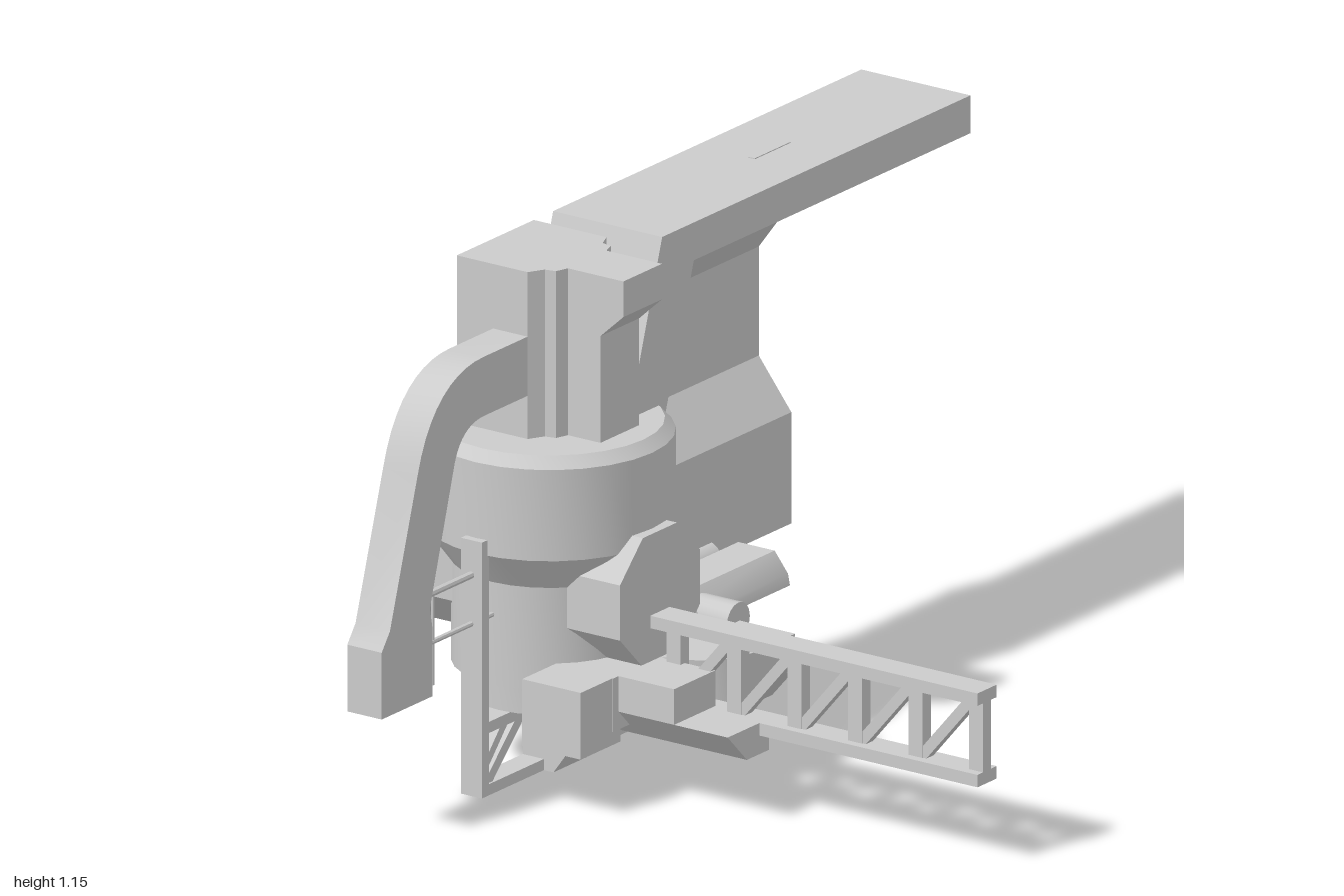
import * as THREE from 'three';
import { toCreasedNormals } from 'three/addons/utils/BufferGeometryUtils.js';

const CX = -0.33, CZ = -0.433; // axis of the central hull

export function createModel() {
  const model = new THREE.Group();
  const mat = new THREE.MeshStandardMaterial({ color: 0xcccccc, side: THREE.DoubleSide });

  function add(name, geo) {
    const mesh = new THREE.Mesh(geo, mat);
    mesh.name = name;
    model.add(mesh);
    return mesh;
  }
  function box(name, x0, x1, y0, y1, z0, z1) {
    const g = new THREE.BoxGeometry(x1 - x0, y1 - y0, z1 - z0);
    g.translate((x0 + x1) / 2, (y0 + y1) / 2, (z0 + z1) / 2);
    return add(name, g);
  }
  function extrude(shape, depth) {
    const g = new THREE.ExtrudeGeometry(shape, { depth, bevelEnabled: false, curveSegments: 10 });
    return toCreasedNormals(g, 0.5);
  }
  const polygon = (pts) => new THREE.Shape(pts.map(([a, b]) => new THREE.Vector2(a, b)));
  // Outline given as x, y and swept along z
  const alongZ = (name, pts, z0, z1) =>
    add(name, extrude(polygon(pts), z1 - z0).translate(0, 0, z0));
  // Outline given as z, y and swept along x
  const alongX = (name, pts, x0, x1) =>
    add(name, extrude(polygon(pts.map(([z, y]) => [-z, y])), x1 - x0).rotateY(Math.PI / 2).translate(x0, 0, 0));
  // Outline given as x, z and swept along y
  const alongY = (name, pts, y0, y1) =>
    add(name, extrude(polygon(pts.map(([x, z]) => [x, -z])), y1 - y0).rotateX(-Math.PI / 2).translate(0, y0, 0));
  // Round or square bar between two points
  function bar(name, a, b, r, sides = 12) {
    const p = new THREE.Vector3(...a), q = new THREE.Vector3(...b);
    const g = toCreasedNormals(new THREE.CylinderGeometry(r, r, p.distanceTo(q), sides), 0.6);
    const m = add(name, g);
    m.position.copy(p).add(q).multiplyScalar(0.5);
    m.quaternion.setFromUnitVectors(new THREE.Vector3(0, 1, 0), q.sub(p).normalize());
    return m;
  }
  // Flat strip in the x, y plane or the z, y plane
  function strip(a, b, w) {
    const dx = b[0] - a[0], dy = b[1] - a[1], l = Math.hypot(dx, dy);
    const nx = -dy / l * w / 2, ny = dx / l * w / 2;
    return [[a[0] + nx, a[1] + ny], [b[0] + nx, b[1] + ny], [b[0] - nx, b[1] - ny], [a[0] - nx, a[1] - ny]];
  }

  // Central hull with tapered neck, base rings and nozzle
  const hullProfile = [[0, 0.07], [0.04, 0.07], [0.06, 0.09], [0.06, 0.165], [0.185, 0.165], [0.185, 0.225],
    [0.21, 0.23], [0.21, 0.46], [0.268, 0.54], [0.268, 0.745], [0.245, 0.77], [0, 0.77]];
  const hull = new THREE.LatheGeometry(hullProfile.map(([r, y]) => new THREE.Vector2(r, y)), 28);
  add('hull', toCreasedNormals(hull, 0.4)).position.set(CX, 0, CZ);

  // Octagonal docking node, passing through the neck front to back
  const o = 0.145, c = 0.062, oy = 0.43;
  alongZ('dockingNode', [[o, c], [c, o], [-c, o], [-o, c], [-o, -c], [-c, -o], [c, -o], [o, -c]]
    .map(([x, y]) => [CX + x, oy + y]), -0.72, -0.145);
  box('neckKnob', -0.13, -0.09, 0.27, 0.32, -0.61, -0.59);

  // Tower on the hull, stepped toward the front, with an overhanging head
  alongY('tower', [[-0.47, -0.575], [-0.19, -0.575], [-0.19, -0.385], [-0.225, -0.37], [-0.23, -0.345],
    [-0.26, -0.335], [-0.26, -0.25], [-0.4, -0.25], [-0.4, -0.335], [-0.43, -0.345], [-0.435, -0.37],
    [-0.47, -0.39]], 0.76, 1.145);
  alongX('towerHead', [[-0.3, 1.145], [-0.19, 1.145], [-0.19, 1.065], [-0.25, 1.01], [-0.3, 1.01]], -0.4, -0.26);

  // Long top beam with its slanted leg
  alongZ('topBeam', [[-0.12, 1.145], [1, 1.145], [1, 1.06], [-0.005, 1.06], [-0.11, 0.74], [-0.24, 0.77]],
    -0.575, -0.29);
  box('beamRidge', 0.4, 0.53, 1.14, 1.147, -0.44, -0.422);

  // Folded sheet hanging below the beam
  const fold = [[-0.42, 1.06], [-0.42, 1.01], [-0.505, 0.895], [-0.505, 0.65], [-0.42, 0.54], [-0.42, 0.29]];
  alongX('foldedPanel', [...fold, ...fold.slice().reverse().map(([z, y]) => [z - 0.012, y])], -0.19, 0.53);

  // Curved side arm ending in a foot
  const arm = new THREE.Shape();
  arm.moveTo(-0.45, 1.0);
  arm.lineTo(-0.63, 1.0);
  arm.bezierCurveTo(-0.74, 1.0, -0.83, 0.94, -0.87, 0.8);
  arm.lineTo(-0.97, 0.48);
  arm.lineTo(-1, 0.44);
  arm.lineTo(-1, 0.29);
  arm.lineTo(-0.815, 0.29);
  arm.lineTo(-0.815, 0.44);
  arm.lineTo(-0.825, 0.49);
  arm.lineTo(-0.735, 0.79);
  arm.quadraticCurveTo(-0.71, 0.865, -0.63, 0.867);
  arm.lineTo(-0.45, 0.867);
  add('sideArm', extrude(arm, 0.09).translate(0, 0, -0.48));

  // Thin rods between the arm foot and the frame
  bar('upperRod', [-0.83, 0.497, CZ], [-0.5, 0.497, CZ], 0.008, 8);
  bar('lowerRod', [-0.83, 0.387, CZ], [-0.5, 0.387, CZ], 0.006, 8);
  bar('uprightRod', [-0.755, 0.29, CZ], [-0.755, 0.5, CZ], 0.004, 8);

  // Support frame: mirrored posts, diagonals and braces
  for (const s of [-1, 1]) {
    const at = (d) => CX + 0.002 + s * d;
    box('framePost', Math.min(at(0.262), at(0.287)), Math.max(at(0.262), at(0.287)), 0, 0.575, -0.46, -0.405);
    alongZ('frameDiagonal', strip([at(0.27), 0.015], [at(0.13), 0.15], 0.025), -0.455, -0.41);
    alongZ('frameDiagonalInner', strip([at(0.19), 0.15], [at(0.272), 0.06], 0.02), -0.455, -0.41);
  }
  box('frameFoot', -0.615, -0.04, 0, 0.025, -0.46, -0.405);
  box('frameRail', -0.615, -0.04, 0.14, 0.165, -0.46, -0.405);
  alongX('frameBracket', [[-0.46, 0], [-0.38, 0], [-0.235, 0.2], [-0.235, 0.23], [-0.405, 0.23], [-0.46, 0.1]],
    -0.39, -0.27);

  // Front lattice boom: flanges, uprights and diagonals
  box('boomTop', -0.365, -0.295, 0.365, 0.393, -0.2, 0.71);
  box('boomBottom', -0.365, -0.295, 0.182, 0.21, -0.2, 0.71);
  for (let i = 0; i < 6; i++) {
    const z = 0.71 - i * 0.158;
    box('boomUpright', -0.345, -0.315, 0.2, 0.37, z - 0.037, z);
    if (i < 5) alongX('boomDiagonal', strip([z - 0.03, 0.37], [z - 0.165, 0.21], 0.024), -0.343, -0.317);
  }

  // Rounded left block with a bevelled lower front edge
  const block = [[-0.145, 0.29], [0, 0.29], [0, 0.21], [-0.06, 0.14], [-0.145, 0.14]];
  alongX('frontBlock', block, -0.18, -0.04);
  alongY('frontBlockCheek', [[-0.18, -0.145], [-0.18, 0], [-0.22, -0.005], [-0.26, -0.025], [-0.3, -0.065],
    [-0.33, -0.145]], 0.14, 0.29);
  box('frontBlockMount', -0.5, -0.04, 0.17, 0.29, -0.3, -0.145);

  // Right block and the low tray ahead of it
  alongZ('frontTray', [[-0.48, 0.21], [-0.33, 0.21], [-0.33, 0.14], [-0.41, 0.14]], -0.145, 0.14);
  alongZ('rightBlock', [[-0.48, 0.29], [-0.33, 0.29], [-0.33, 0.14], [-0.41, 0.14], [-0.48, 0.21]], -0.3, 0);
  box('sideBlock', -0.615, -0.47, 0.14, 0.29, -0.3, -0.147);

  // Twin side tubes under a faceted cover, with a cross tube
  for (const z of [-0.29, CZ]) bar('sideTube', [-0.25, 0.29, z], [0.24, 0.29, z], 0.042, 16);
  alongX('tubeCover', [[-0.215, 0.275], [-0.22, 0.3], [-0.255, 0.345], [-0.35, 0.345], [-0.395, 0.29],
    [-0.38, 0.275], [-0.3, 0.29]], -0.2, 0.24);
  bar('crossTube', [-0.045, 0.29, -0.145], [-0.045, 0.29, -0.36], 0.042, 16);

  return model;
}
